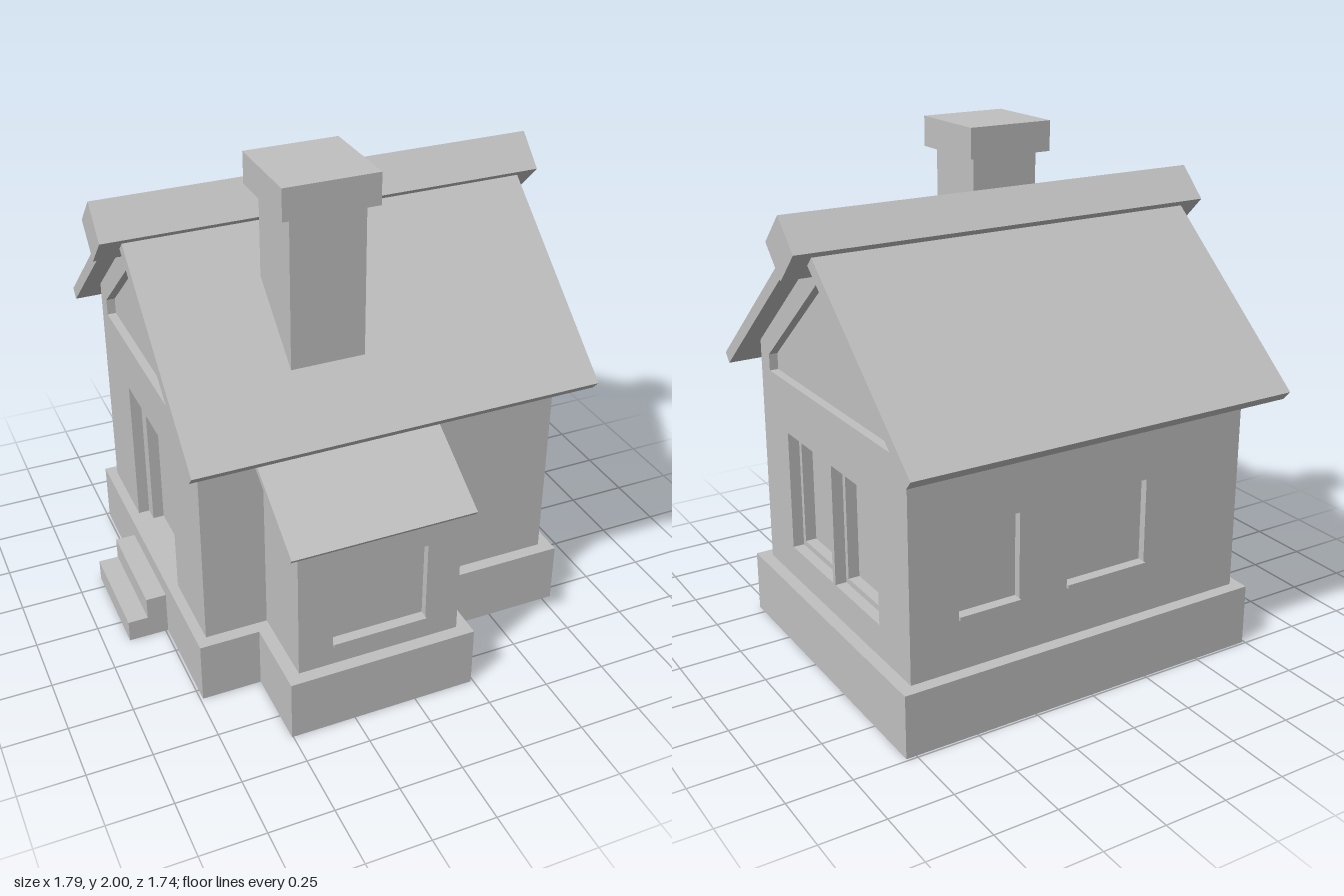
import * as THREE from 'three';

export function createModel() {
  const house = new THREE.Group();
  house.name = 'cottage';
  const plaster = new THREE.MeshStandardMaterial({ color: 0xc0c0c0 });
  plaster.name = 'plain grey';

  const add = (name, geo) => {
    const mesh = new THREE.Mesh(geo, plaster);
    mesh.name = name;
    house.add(mesh);
    return mesh;
  };
  const box = (name, x0, x1, y0, y1, z0, z1) =>
    add(name, new THREE.BoxGeometry(x1 - x0, y1 - y0, z1 - z0))
      .position.set((x0 + x1) / 2, (y0 + y1) / 2, (z0 + z1) / 2);
  const points = (list) => list.map(([a, b]) => new THREE.Vector2(a, b));
  const rect = (a0, a1, b0, b1) => [[a0, b0], [a1, b0], [a1, b1], [a0, b1]];
  const extrude = (outline, holes, depth) => {
    const shape = new THREE.Shape(points(outline));
    holes.forEach((h) => shape.holes.push(new THREE.Path(points(h))));
    return new THREE.ExtrudeGeometry(shape, { depth, bevelEnabled: false });
  };
  // Profile in (z, y), spanning x0..x1
  const alongX = (name, x0, x1, outline, holes = []) => {
    const geo = extrude(outline, holes, x1 - x0).rotateY(-Math.PI / 2);
    add(name, geo.translate(x1, 0, 0));
  };
  // Profile in (x, y), spanning z0..z1
  const alongZ = (name, z0, z1, outline, holes = []) =>
    add(name, extrude(outline, holes, z1 - z0).translate(0, 0, z0));

  const C = -0.095;   // z of the ridge
  const T = 0.09;     // wall thickness
  const H = T / 2;    // depth of frames behind the wall face
  const X0 = -0.70, X1 = 0.74, Z0 = -0.69, Z1 = 0.50;

  // Plinth and steps
  box('plinth', -0.74, 0.79, 0, 0.25, -0.74, 0.55);
  box('bayPlinth', -0.505, 0.24, 0, 0.25, 0.5, 0.87);
  box('lowerStep', -0.90, -0.74, 0, 0.09, -0.31, 0.12);
  box('upperStep', -0.82, -0.74, 0, 0.18, -0.31, 0.12);

  // Inner body, which closes the back of every opening
  const gable = (half, base, eave, apex) =>
    [[C - half, base], [C + half, base], [C + half, eave], [C, apex], [C - half, eave]];
  alongX('innerBody', X0 + T, X1 - T, gable(0.595 - T, 0.2, 1.18, 1.61));

  // Gable walls with a recessed panel near the top
  const panel = [[C - 0.517, 1.08], [C + 0.517, 1.08], [C + 0.517, 1.146], [C, 1.576], [C - 0.517, 1.146]];
  const gableOutline = gable(0.595, 0.2, 1.185, 1.69);
  const doorway = rect(-0.36, 0.165, 0.25, 0.87);
  const windowHole = rect(-0.462, 0.276, 0.38, 0.867);
  alongX('windowGableWall', X1 - T, X1, gableOutline, [windowHole, panel]);
  alongX('doorGableWall', X0, X0 + T, gableOutline, [doorway, panel]);
  alongX('gablePanel', X1 - T, X1 - 0.035, panel);
  alongX('gablePanel', X0 + 0.035, X0 + T, panel);

  // Double window frame and centre mullion
  alongX('windowFrame', X1 - T, X1 - H, windowHole,
    [rect(-0.44, -0.127, 0.403, 0.849), rect(-0.064, 0.255, 0.403, 0.849)]);
  box('windowMullion', X1 - H, X1, 0.38, 0.867, -0.106, -0.085);

  // Door frame, open at the bottom
  alongX('doorFrame', X0 + H, X0 + T, [
    [-0.36, 0.25], [-0.30, 0.25], [-0.30, 0.81], [0.105, 0.81],
    [0.105, 0.25], [0.165, 0.25], [0.165, 0.87], [-0.36, 0.87],
  ]);

  // Long walls between the gables, the back one with two windows
  const longWall = rect(X0 + T, X1 - T, 0.2, 1.185);
  const backWindows = [[0.295, 0.545], [-0.26, 0.09]];
  alongZ('frontWall', Z1 - T, Z1, longWall);
  alongZ('backWall', Z0, Z0 + T, longWall, backWindows.map(([a, b]) => rect(a, b, 0.45, 0.80)));
  for (const [a, b] of backWindows) {
    box('backWindowPane', a, b, 0.45, 0.80, Z0 + 0.03, Z0 + T);
    box('backWindowSill', a, b, 0.45, 0.465, Z0 - 0.012, Z0 + 0.03);
  }

  // Front bay: body, window wall, sill and lean-to roof
  alongX('bayBody', -0.455, 0.19, [[0.45, 0.2], [0.79, 0.2], [0.79, 0.81], [0.5, 0.995], [0.45, 0.995]]);
  alongZ('bayWindowWall', 0.79, 0.82, rect(-0.455, 0.19, 0.2, 0.805), [rect(-0.32, 0.055, 0.335, 0.675)]);
  box('baySill', -0.32, 0.055, 0.335, 0.347, 0.79, 0.832);
  alongX('bayRoof', -0.495, 0.225, [[0.865, 0.805], [0.852, 0.788], [0.48, 1.012], [0.48, 1.04]]);

  // Main roof and ridge beam set on its corner
  alongX('roof', -0.775, 0.82, [
    [C - 0.772, 1.098], [C - 0.74, 1.062], [C, 1.69],
    [C + 0.74, 1.062], [C + 0.772, 1.098], [C, 1.755],
  ]);
  const r = 0.116;
  alongX('ridgeBeam', -0.86, 0.895, [[C, 1.695 - r], [C + r, 1.695], [C, 1.695 + r], [C - r, 1.695]]);

  // Chimney
  box('chimney', -0.32, -0.035, 1.22, 1.88, 0.165, 0.447);
  box('chimneyCap', -0.36, 0, 1.88, 2, 0.125, 0.485);

  return house;
}
